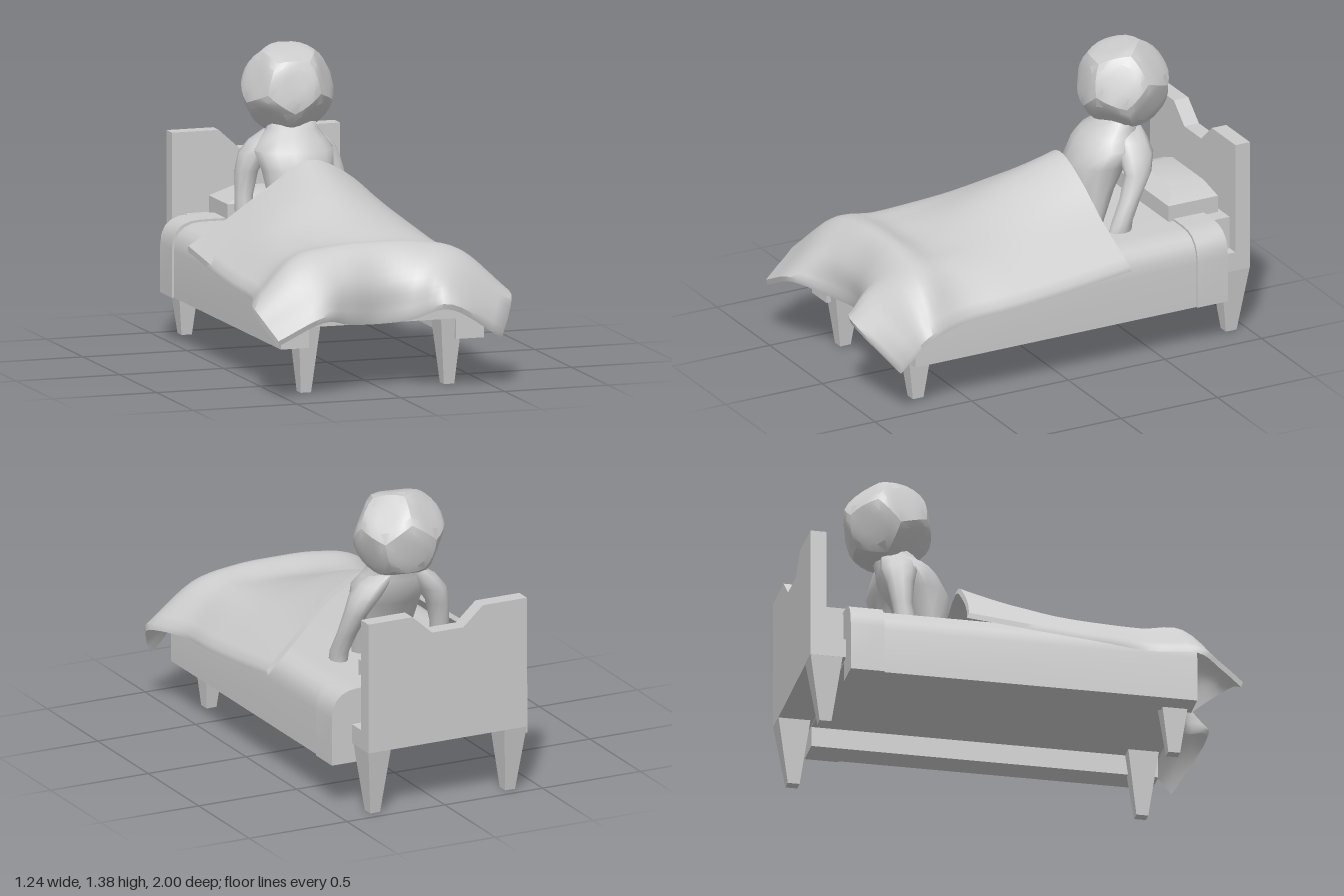
import * as THREE from 'three';
import { mergeVertices, toCreasedNormals } from 'three/addons/utils/BufferGeometryUtils.js';

const material = new THREE.MeshStandardMaterial({ color: 0xcccccc });

function indexed(points, index, crease) {
  const g = new THREE.BufferGeometry();
  g.setAttribute('position', new THREE.Float32BufferAttribute(points.flat(), 3));
  g.setIndex(index);
  return toCreasedNormals(g, crease);
}

// Closed skin over rings listed from bottom to top
function loft(rings, crease) {
  const n = rings[0].length, m = rings.length, points = rings.flat(), index = [];
  for (let i = 0; i < m - 1; i++) for (let k = 0; k < n; k++) {
    const a = i * n + k, b = i * n + (k + 1) % n;
    index.push(a, a + n, b, b, a + n, b + n);
  }
  for (let k = 1; k < n - 1; k++) {
    const t = (m - 1) * n;
    index.push(0, k, k + 1, t, t + k + 1, t + k);
  }
  return indexed(points, index, crease);
}

// Stacked rectangles: [y, x0, x1, z0, z1]
const stack = (rects, crease = 0.1) => loft(rects.map(([y, x0, x1, z0, z1]) =>
  [[x1, y, z0], [x1, y, z1], [x0, y, z1], [x0, y, z0]]), crease);

// Stacked ellipses: [x, y, z, rx, rz]
const limb = (sections, sides = 10) => loft(sections.map(([x, y, z, rx, rz]) =>
  Array.from({ length: sides }, (_, k) => {
    const a = k / sides * Math.PI * 2;
    return [x + rx * Math.cos(a), y, z + rz * Math.sin(a)];
  })), 1.1);

function extrude(shape, z0, z1, crease) {
  const g = new THREE.ExtrudeGeometry(shape, { depth: z1 - z0, bevelEnabled: false, curveSegments: 5 });
  return toCreasedNormals(g.translate(0, 0, z0), crease);
}

// Mattress profile with rounded shoulders and side skirts
function mattressShape(grow, cx) {
  const w = 0.49 + grow, top = 0.558 + grow, s = new THREE.Shape();
  s.moveTo(cx - w, 0.215);
  s.lineTo(cx - 0.355, 0.215);
  s.lineTo(cx - 0.355, 0.31);
  s.lineTo(cx + 0.355, 0.31);
  s.lineTo(cx + 0.355, 0.215);
  s.lineTo(cx + w, 0.215);
  s.lineTo(cx + w, top - 0.13);
  s.quadraticCurveTo(cx + w, top, cx + w - 0.14, top);
  s.lineTo(cx - w + 0.14, top);
  s.quadraticCurveTo(cx - w, top, cx - w, top - 0.13);
  s.closePath();
  return s;
}

// Draped sheet: smooth surface through control rows, given thickness
function blanketGeometry() {
  const row = (zMid, zSide, w, heights) => heights.map((y, j) => {
    const u = (j - 3) / 3;
    return [-0.01 + u * w, y, zMid + (zSide - zMid) * u * u];
  });
  const rows = [
    row(-0.23, -0.295, 0.555, [0.52, 0.65, 0.785, 0.895, 0.825, 0.67, 0.52]),
    row(0.05, 0.03, 0.56, [0.485, 0.63, 0.74, 0.80, 0.75, 0.64, 0.485]),
    row(0.30, 0.30, 0.56, [0.46, 0.615, 0.67, 0.70, 0.68, 0.615, 0.46]),
    row(0.53, 0.55, 0.55, [0.44, 0.61, 0.635, 0.635, 0.635, 0.61, 0.44]),
    row(0.70, 0.76, 0.618, [0.42, 0.60, 0.655, 0.665, 0.655, 0.60, 0.42]),
    [[-0.61, 0.36, 0.87], [-0.37, 0.485, 0.88], [-0.20, 0.515, 0.835], [-0.03, 0.50, 0.81],
      [0.13, 0.515, 0.835], [0.28, 0.505, 0.895], [0.58, 0.34, 0.84]],
    [[-0.58, 0.29, 0.975], [-0.36, 0.385, 0.97], [-0.20, 0.35, 0.86], [-0.05, 0.335, 0.805],
      [0.10, 0.355, 0.865], [0.25, 0.415, 0.995], [0.53, 0.25, 0.89]],
  ];
  const n = 30, size = (n + 1) ** 2, top = [], index = [];
  const curve = pts => new THREE.CatmullRomCurve3(pts, false, 'catmullrom');
  const across = rows.map(r => curve(r.map(p => new THREE.Vector3(...p))));
  const along = Array.from({ length: n + 1 }, (_, j) => curve(across.map(c => c.getPoint(j / n))));
  for (let i = 0; i <= n; i++) for (let j = 0; j <= n; j++) top.push(along[j].getPoint(i / n).toArray());
  const under = top.map(([x, y, z]) => [x, y - 0.026, z - 0.008]);
  const id = (i, j) => i * (n + 1) + j;
  for (let i = 0; i < n; i++) for (let j = 0; j < n; j++) {
    const a = id(i, j), b = id(i + 1, j), c = id(i, j + 1), d = id(i + 1, j + 1);
    index.push(a, b, c, c, b, d);
    index.push(a + size, c + size, b + size, c + size, d + size, b + size);
  }
  const rim = [];
  for (let k = 0; k < n; k++) rim.push([id(k, 0), id(k + 1, 0)], [id(n, k), id(n, k + 1)],
    [id(k + 1, n), id(k, n)], [id(0, k + 1), id(0, k)]);
  for (const [p, q] of rim) index.push(p, p + size, q, q, p + size, q + size);
  return indexed([...top, ...under], index, 0.9);
}

// Ball cut flat by twelve planes, one per pentagon
function headGeometry(radius) {
  const phi = (1 + Math.sqrt(5)) / 2, normals = [];
  for (const s of [-1, 1]) for (const t of [-phi, phi])
    for (const n of [[s, 0, t], [0, t, s], [t, s, 0]]) normals.push(new THREE.Vector3(...n).normalize());
  const ball = new THREE.DodecahedronGeometry(1, 3);
  ball.deleteAttribute('normal');
  ball.deleteAttribute('uv');
  const g = mergeVertices(ball, 1e-4), p = g.getAttribute('position'), v = new THREE.Vector3();
  for (let i = 0; i < p.count; i++) {
    v.fromBufferAttribute(p, i).normalize();
    const facing = Math.max(...normals.map(n => n.dot(v)));
    v.multiplyScalar(radius * Math.min(1, 0.885 / facing));
    p.setXYZ(i, v.x, v.y, v.z);
  }
  // Turn one pentagon to the face, point down
  g.rotateY(-0.554).rotateZ(-Math.PI / 2).rotateX(-0.2).rotateY(-0.15);
  return toCreasedNormals(g, 0.36);
}

export function createModel() {
  const model = new THREE.Group();
  const add = (name, geometry, parent = model) => {
    const mesh = new THREE.Mesh(geometry, material);
    mesh.name = name;
    parent.add(mesh);
    return mesh;
  };
  const cx = -0.015;

  // Bed
  const board = new THREE.Shape([[-0.405, 0.31], [0.405, 0.31], [0.405, 0.93], [0.18, 0.93],
    [0.08, 0.84], [-0.08, 0.84], [-0.18, 0.93], [-0.405, 0.93]].map(p => new THREE.Vector2(...p)));
  add('headboard', extrude(board, -1, -0.925, 0.1)).position.x = cx;
  add('headRail', stack([[0.31, -0.42, 0.39, -0.99, -0.835], [0.4, -0.42, 0.39, -0.99, -0.835]]));
  add('mattressEnd', stack([[0.39, -0.355, 0.335, -0.93, -0.82], [0.555, -0.355, 0.335, -0.93, -0.82]]));
  add('mattress', extrude(mattressShape(0, -0.01), -0.82, 0.78, 0.5));
  add('sheetFold', extrude(mattressShape(0.01, -0.01), -0.832, -0.675, 0.5));
  for (const s of [-1, 1]) {
    const side = s < 0 ? 'right' : 'left';
    const span = (a, b) => [cx + Math.min(s * a, s * b), cx + Math.max(s * a, s * b)];
    add(side + 'BackLeg', stack([[0, ...span(0.32, 0.37), -0.95, -0.895], [0.315, ...span(0.29, 0.405), -1, -0.85]]));
    add(side + 'FrontLeg', stack([[0, ...span(0.32, 0.37), 0.67, 0.725], [0.32, ...span(0.29, 0.395), 0.625, 0.77]]));
  }
  add('pillow', stack([[0.555, -0.25, 0.26, -0.905, -0.65], [0.635, -0.25, 0.26, -0.905, -0.65],
    [0.677, -0.14, 0.15, -0.89, -0.72]], 0.6));
  add('blanket', blanketGeometry());

  // Seated figure
  const figure = new THREE.Group();
  figure.name = 'figure';
  model.add(figure);
  add('head', headGeometry(0.213), figure).position.set(0.004, 1.176, -0.553);
  add('torso', limb([[0, 0.55, -0.35, 0.14, 0.07], [0, 0.70, -0.38, 0.15, 0.10], [0, 0.83, -0.41, 0.17, 0.14],
    [0, 0.91, -0.46, 0.19, 0.14], [0, 0.96, -0.48, 0.155, 0.125], [0.01, 1.0, -0.51, 0.12, 0.105],
    [0.01, 1.04, -0.53, 0.115, 0.09]], 14), figure);
  add('leftArm', limb([[0.24, 0.557, -0.41, 0.04, 0.055], [0.24, 0.60, -0.42, 0.042, 0.05],
    [0.225, 0.70, -0.47, 0.045, 0.05], [0.205, 0.81, -0.52, 0.053, 0.065],
    [0.165, 0.89, -0.53, 0.07, 0.085], [0.12, 0.945, -0.53, 0.07, 0.08], [0.07, 0.99, -0.53, 0.045, 0.07]]), figure);
  add('rightArm', limb([[-0.22, 0.557, -0.51, 0.042, 0.055], [-0.22, 0.60, -0.51, 0.042, 0.05],
    [-0.215, 0.70, -0.53, 0.043, 0.048], [-0.2, 0.81, -0.535, 0.053, 0.065],
    [-0.165, 0.89, -0.535, 0.07, 0.085], [-0.12, 0.945, -0.53, 0.07, 0.08], [-0.07, 0.99, -0.53, 0.045, 0.07]]), figure);
  return model;
}
